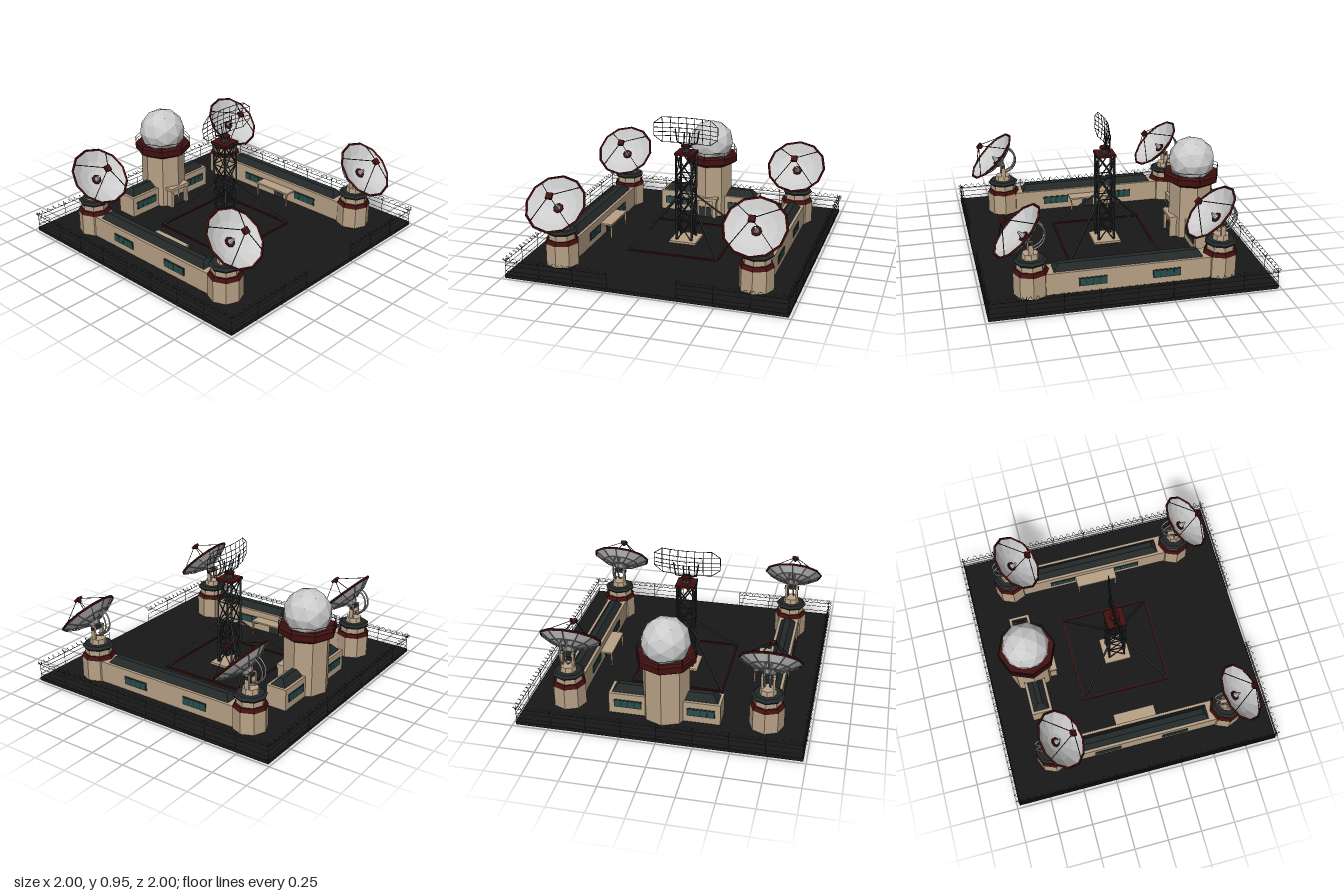
import * as THREE from 'three';
import { mergeGeometries } from 'three/addons/utils/BufferGeometryUtils.js';

const mat = (color, double) => new THREE.MeshStandardMaterial({
  color, flatShading: true, side: double ? THREE.DoubleSide : THREE.FrontSide });
const TAN = mat(0xb9a287), RED = mat(0x421010), BLACK = mat(0x181818), ROOF = mat(0x232828),
  STEEL = mat(0x2a2c2e), GREY = mat(0x8c8c8c), DISH = mat(0xcccccc, true), WHITE = mat(0xcccccc),
  GLASS = mat(0x24504e);
const V = (x, y, z) => new THREE.Vector3(x, y, z);

function add(parent, name, geo, material, x = 0, y = 0, z = 0) {
  const m = new THREE.Mesh(geo, material);
  m.name = name;
  m.position.set(x, y, z);
  parent.add(m);
  return m;
}
const box = (p, name, m, w, h, d, x, y, z) => add(p, name, new THREE.BoxGeometry(w, h, d), m, x, y, z);
// Eight-sided drum standing between two heights
const drum = (p, name, m, rTop, rBot, y0, y1, x = 0, z = 0, n = 8) =>
  add(p, name, new THREE.CylinderGeometry(rTop, rBot, y1 - y0, n), m, x, (y0 + y1) / 2, z);
// Thin rod between two points
function rod(a, b, r, n = 4) {
  const d = b.clone().sub(a), g = new THREE.CylinderGeometry(r, r, d.length(), n);
  g.applyQuaternion(new THREE.Quaternion().setFromUnitVectors(V(0, 1, 0), d.clone().normalize()));
  const c = a.clone().add(b).multiplyScalar(0.5);
  return g.translate(c.x, c.y, c.z);
}
const rods = (p, name, m, pairs, r) => add(p, name, mergeGeometries(pairs.map(([a, b]) => rod(a, b, r))), m);

// Hipped roof with a flat top: a box whose upper corners are pulled in
function hipRoof(p, w, d, h, inset, x, y, z) {
  const g = new THREE.BoxGeometry(w, h, d), a = g.attributes.position;
  for (let i = 0; i < a.count; i++) if (a.getY(i) > 0)
    a.setXYZ(i, a.getX(i) - Math.sign(a.getX(i)) * inset, h / 2, a.getZ(i) - Math.sign(a.getZ(i)) * inset);
  add(p, 'roof', g, ROOF, x, y + h / 2, z);
}
function windowStrip(p, x, y, z, turn) {
  const g = new THREE.Group();
  g.name = 'window';
  box(g, 'windowFrame', STEEL, 0.195, 0.06, 0.008, 0, 0, 0);
  for (let i = 0; i < 4; i++) box(g, 'windowPane', GLASS, 0.04, 0.046, 0.012, -0.069 + i * 0.046, 0, 0);
  g.position.set(x, y, z);
  g.rotation.y = turn;
  p.add(g);
}

function dishAntenna() {
  const g = new THREE.Group();
  g.name = 'dishAntenna';
  const R = 0.212, depth = 0.07, h = r => depth * ((r / R) ** 2 - 1);
  const profile = [0.001, 0.07, 0.14, R].map(r => new THREE.Vector2(r, h(r)));
  add(g, 'dishBowl', new THREE.LatheGeometry(profile, 12), DISH);
  const ring = (name, m, r, t, y) =>
    add(g, name, new THREE.TorusGeometry(r, t, 4, 12).rotateX(Math.PI / 2), m, 0, y, 0);
  ring('dishRim', RED, R, 0.009, 0);
  ring('backRing', GREY, 0.14, 0.004, h(0.14) - 0.007);
  ring('backRing', GREY, 0.07, 0.004, h(0.07) - 0.007);
  const ribs = [], struts = [];
  for (let i = 0; i < 12; i++) {
    const a = i * Math.PI / 6, at = r => V(Math.sin(a) * r, h(r) - 0.006, Math.cos(a) * r);
    ribs.push([at(0.02), at(0.07)], [at(0.07), at(0.14)], [at(0.14), at(R)]);
  }
  for (let i = 0; i < 4; i++) {
    const a = (i + 0.5) * Math.PI / 2;
    struts.push([V(Math.sin(a) * 0.205, 0, Math.cos(a) * 0.205), V(Math.sin(a) * 0.02, 0.12, Math.cos(a) * 0.02)]);
  }
  rods(g, 'backRibs', GREY, ribs, 0.004);
  rods(g, 'feedStruts', STEEL, struts, 0.003);
  box(g, 'feedBox', RED, 0.045, 0.02, 0.045, 0, 0.125, 0);
  drum(g, 'feedHorn', STEEL, 0.018, 0.01, 0.1, 0.116);
  drum(g, 'hubPlate', RED, 0.036, 0.036, -0.07, -0.056);
  drum(g, 'hubCone', WHITE, 0.008, 0.02, -0.056, -0.012);
  drum(g, 'backHub', GREY, 0.05, 0.035, -0.1, -0.07);
  return g;
}

function dishTower(x, z) {
  const g = new THREE.Group();
  g.name = 'dishTower';
  drum(g, 'towerBody', TAN, 0.12, 0.12, 0.02, 0.182);
  drum(g, 'towerBand', RED, 0.108, 0.122, 0.182, 0.21);
  drum(g, 'towerNeck', TAN, 0.096, 0.096, 0.21, 0.255);
  drum(g, 'towerCap', ROOF, 0.115, 0.105, 0.25, 0.265);
  drum(g, 'towerCapTop', ROOF, 0.095, 0.115, 0.265, 0.281);
  drum(g, 'turntable', TAN, 0.055, 0.06, 0.28, 0.318);
  for (const s of [-1, 1]) {
    box(g, 'yokeArm', TAN, 0.016, 0.12, 0.03, s * 0.04, 0.355, 0);
    // Elevation gear arc behind the dish
    const arc = new THREE.TorusGeometry(0.1, 0.007, 4, 10, 2.7).rotateZ(-Math.PI / 2).rotateY(Math.PI / 2);
    add(g, 'elevationArc', arc, GREY, s * 0.02, 0.445, 0);
  }
  box(g, 'axle', STEEL, 0.11, 0.022, 0.022, 0, 0.4, 0);
  const dish = dishAntenna();
  dish.position.set(0, 0.482, 0.083);
  dish.rotation.x = Math.PI / 4;
  g.add(dish);
  g.position.set(x, 0, z);
  return g;
}

function sideBuilding(s) {
  const g = new THREE.Group();
  g.name = 'sideBuilding';
  box(g, 'walls', TAN, 0.15, 0.16, 1.24, s * 0.695, 0.1, 0);
  hipRoof(g, 0.11, 1.03, 0.045, 0.034, s * 0.695, 0.18, 0);
  for (const z of [-0.255, 0.255]) for (const side of [-1, 1])
    windowStrip(g, s * 0.695 + side * 0.076, 0.1, z, Math.PI / 2);
  box(g, 'canopy', TAN, 0.09, 0.012, 0.31, s * 0.575, 0.128, 0);
  for (const z of [-0.145, 0.145]) box(g, 'canopyPost', TAN, 0.01, 0.105, 0.01, s * 0.537, 0.072, z);
  box(g, 'door', STEEL, 0.01, 0.09, 0.09, s * 0.619, 0.068, 0);
  return g;
}

function domeBuilding() {
  const g = new THREE.Group();
  g.name = 'domeBuilding';
  box(g, 'wing', TAN, 0.78, 0.16, 0.155, 0, 0.1, 0);
  hipRoof(g, 0.74, 0.115, 0.048, 0.04, 0, 0.18, 0);
  for (const x of [-0.255, 0.255]) for (const s of [-1, 1]) windowStrip(g, x, 0.105, s * 0.078, 0);
  drum(g, 'domeTower', TAN, 0.165, 0.165, 0.02, 0.44);
  drum(g, 'collarTaper', RED, 0.208, 0.16, 0.425, 0.455);
  drum(g, 'collar', RED, 0.208, 0.208, 0.455, 0.5);
  add(g, 'radome', new THREE.IcosahedronGeometry(0.172, 1), WHITE, 0, 0.595, 0);
  const posts = [];
  for (let i = 0; i < 8; i++) {
    const x = Math.cos(i * Math.PI / 4) * 0.205, z = Math.sin(i * Math.PI / 4) * 0.205;
    posts.push([V(x, 0.5, z), V(x, 0.55, z)]);
  }
  rods(g, 'railPosts', STEEL, posts, 0.002);
  for (const y of [0.525, 0.55])
    add(g, 'railing', new THREE.TorusGeometry(0.205, 0.002, 4, 8).rotateX(Math.PI / 2), STEEL, 0, y, 0);
  // Entrance porch
  for (const s of [-1, 1]) box(g, 'porchPillar', TAN, 0.025, 0.14, 0.05, s * 0.075, 0.09, 0.155);
  box(g, 'porchTop', TAN, 0.19, 0.024, 0.08, 0, 0.172, 0.145);
  box(g, 'porchWall', TAN, 0.13, 0.14, 0.06, 0, 0.09, 0.13);
  for (const s of [-1, 1]) box(g, 'door', STEEL, 0.048, 0.085, 0.01, s * 0.026, 0.062, 0.161);
  g.position.z = -0.657;
  return g;
}

function radarMast() {
  const g = new THREE.Group();
  g.name = 'radarMast';
  box(g, 'footing', TAN, 0.2, 0.02, 0.2, 0, 0.03, 0);
  const turn = (x, y, z, k) => V(x, y, z).applyAxisAngle(V(0, 1, 0), k * Math.PI / 2);
  const legs = [], braces = [], guys = [], e = 0.058, step = 0.164;
  for (let k = 0; k < 4; k++) {
    legs.push([turn(e, 0.03, e, k), turn(e, 0.69, e, k)]);
    guys.push([turn(0.06, 0.355, 0.06, k), turn(0.33, 0.025, 0.33, k)]);
    for (let i = 0; i < 4; i++) {
      const y = 0.032 + i * step, t = y + step;
      braces.push([turn(-e, y, e, k), turn(e, t, e, k)], [turn(e, y, e, k), turn(-e, t, e, k)],
        [turn(-e, t, e, k), turn(e, t, e, k)]);
    }
    const side = box(g, 'groundFrame', RED, 0.67, 0.01, 0.012, 0, 0.029, 0);
    side.position.copy(turn(0, 0.029, 0.329, k));
    side.rotation.y = k * Math.PI / 2;
  }
  rods(g, 'legs', STEEL, legs, 0.008);
  rods(g, 'crossBraces', STEEL, braces, 0.005);
  rods(g, 'guyStruts', STEEL, guys, 0.009);
  box(g, 'topPlatform', RED, 0.14, 0.018, 0.14, 0, 0.695, 0);
  drum(g, 'pivot', STEEL, 0.02, 0.035, 0.704, 0.735);
  drum(g, 'pivotDisc', RED, 0.038, 0.038, 0.735, 0.75);
  // Bowed mesh reflector with cut corners
  const bow = (x, y) => V(x, y, -0.018 + 0.6 * x * x + 1.2 * (y - 0.86) ** 2);
  const wires = [], reach = y => y > 0.91 || y < 0.805 ? 0.18 : 0.24;
  for (const y of [0.765, 0.81, 0.838, 0.87, 0.905, 0.95]) {
    const w = reach(y);
    for (let i = 0; i < 8; i++) wires.push([bow(-w + i * w / 4, y), bow(-w + (i + 1) * w / 4, y)]);
  }
  for (let i = -4; i <= 4; i++) {
    const x = i * 0.06, ys = Math.abs(i) === 4 ? [0.81, 0.86, 0.905] : [0.765, 0.81, 0.86, 0.905, 0.95];
    for (let j = 1; j < ys.length; j++) wires.push([bow(x, ys[j - 1]), bow(x, ys[j])]);
  }
  const arms = [];
  for (const s of [-1, 1]) {
    wires.push([bow(s * 0.18, 0.95), bow(s * 0.24, 0.905)], [bow(s * 0.18, 0.765), bow(s * 0.24, 0.81)]);
    arms.push([V(0, 0.745, 0), V(s * 0.075, 0.765, -0.02)], [V(s * 0.075, 0.765, -0.02), V(s * 0.09, 0.86, -0.02)],
      [V(s * 0.02, 0.745, 0), V(s * 0.02, 0.84, -0.022)]);
  }
  rods(g, 'reflectorMesh', STEEL, wires, 0.0025);
  rods(g, 'reflectorArms', STEEL, arms, 0.005);
  return g;
}

// One straight run of fence along x with wires and a barbed coil
function fenceRun(x0, x1, turnY) {
  const g = new THREE.Group(), E = 0.975, n = Math.max(1, Math.round((x1 - x0) / 0.245)), parts = [];
  g.name = 'fence';
  for (let i = 0; i <= n; i++) {
    const x = x0 + (x1 - x0) * i / n;
    parts.push([V(x, 0.02, E), V(x, 0.12, E)], [V(x, 0.12, E), V(x, 0.142, E + 0.016)], [V(x, 0.12, E), V(x, 0.142, E - 0.016)]);
  }
  for (const y of [0.05, 0.09, 0.12]) parts.push([V(x0, y, E), V(x1, y, E)]);
  rods(g, 'postsAndWires', STEEL, parts, 0.002);
  const coil = [], turns = Math.round((x1 - x0) / 0.05);
  for (let i = 0; i <= turns * 5; i++) {
    const a = i / 5 * Math.PI * 2;
    coil.push(V(x0 + (x1 - x0) * i / (turns * 5), 0.134 + 0.013 * Math.sin(a), E + 0.004 + 0.018 * Math.cos(a)));
  }
  rods(g, 'barbedCoil', STEEL, coil.slice(1).map((p, i) => [coil[i], p]), 0.0014);
  g.rotation.y = turnY;
  return g;
}

export function createModel() {
  const model = new THREE.Group();
  model.name = 'radarStation';
  box(model, 'ground', BLACK, 1.96, 0.025, 1.96, 0, 0.0125, 0);
  for (const s of [-1, 1]) {
    model.add(sideBuilding(s), dishTower(s * 0.695, 0.66), dishTower(s * 0.695, -0.655));
  }
  model.add(domeBuilding(), radarMast());
  // Fence on all sides, with a gate gap at the front
  model.add(fenceRun(-0.975, -0.24, 0), fenceRun(0.24, 0.975, 0));
  for (let k = 1; k < 4; k++) model.add(fenceRun(-0.975, 0.975, k * Math.PI / 2));
  return model;
}
